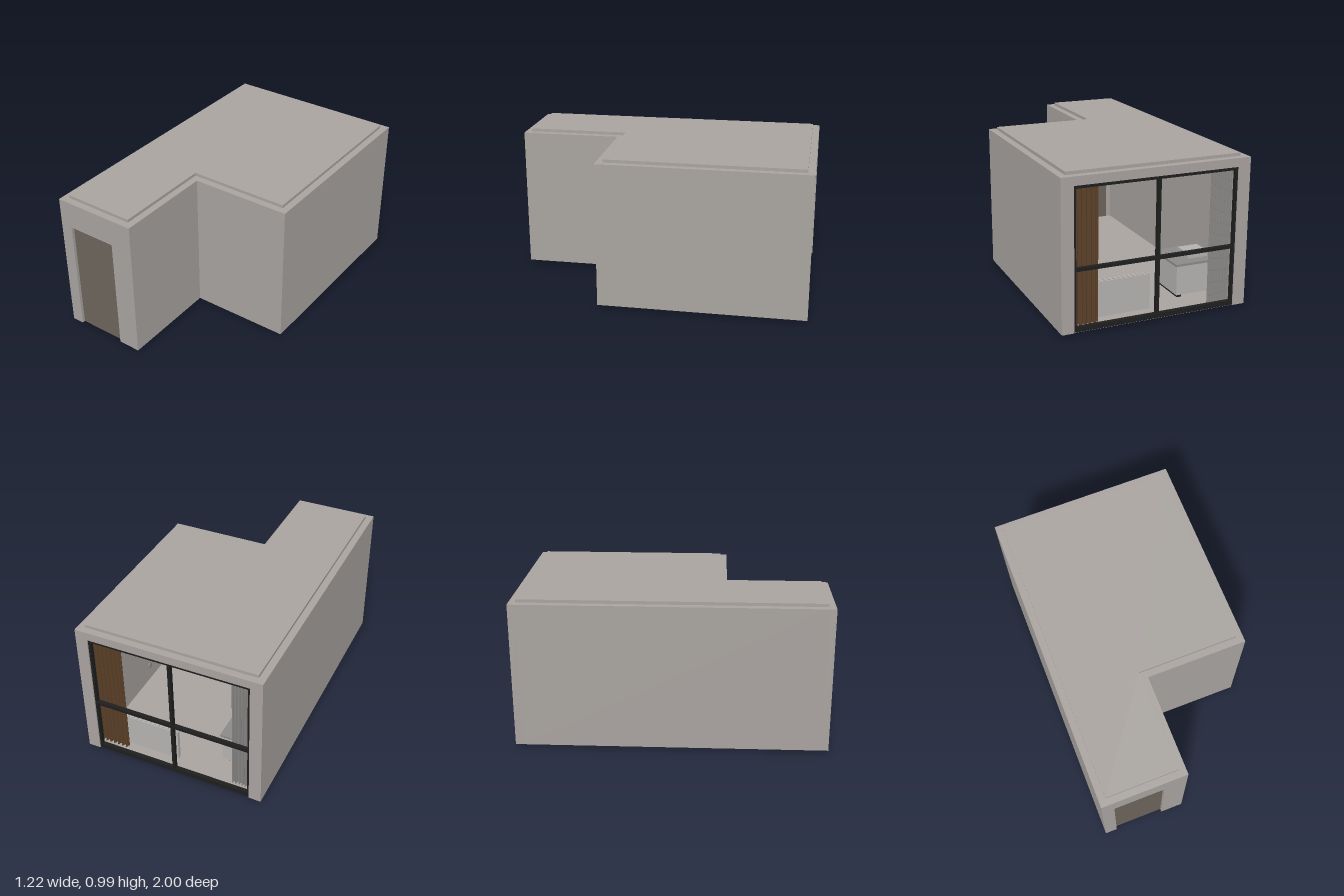
import * as THREE from 'three';

const mat = (name, color, side = THREE.FrontSide) => {
  const m = new THREE.MeshStandardMaterial({ color, side });
  m.name = name;
  return m;
};

export function createModel() {
  const model = new THREE.Group();
  model.name = 'roomUnit';
  const plaster = mat('warmGreyPlaster', 0xa8a39f);
  const doorBrown = mat('doorBrown', 0x6c645b);
  const black = mat('frameBlack', 0x1e1e1e);
  const brownCloth = mat('brownCloth', 0x5c4128, THREE.DoubleSide);
  const greyCloth = mat('greyCloth', 0x8c8a88, THREE.DoubleSide);
  const white = mat('furnitureLightGrey', 0xb4b2b0);

  const add = (name, geo, material, parent = model) => {
    const mesh = new THREE.Mesh(geo, material);
    mesh.name = name;
    parent.add(mesh);
    return mesh;
  };
  // Box given by its minimum and maximum corners
  const box = (name, material, [x0, y0, z0], [x1, y1, z1], parent) => {
    const geo = new THREE.BoxGeometry(x1 - x0, y1 - y0, z1 - z0);
    geo.translate((x0 + x1) / 2, (y0 + y1) / 2, (z0 + z1) / 2);
    return add(name, geo, material, parent);
  };
  const shape = (pts) => new THREE.Shape(pts.map(([x, y]) => new THREE.Vector2(x, y)));
  const extrude = (pts, depth) => new THREE.ExtrudeGeometry(shape(pts), { depth, bevelEnabled: false });

  const bottom = 0.02, top = 0.965, t = 0.045;

  // L-shaped floor and roof slabs, inset to the inner wall line
  const slab = (name, y0, y1) => {
    const geo = extrude([
      [-0.565, -0.955], [-0.095, -0.955], [-0.095, -0.297],
      [0.565, -0.297], [0.565, 0.955], [-0.565, 0.955],
    ], y1 - y0);
    geo.rotateX(-Math.PI / 2).translate(0, y0, 0);
    add(name, geo, plaster);
  };
  slab('floorSlab', 0, 0.022);
  slab('roofSlab', 0.962, 0.985);

  // Solid walls
  box('rightWall', plaster, [-0.61, bottom, -1 + t], [-0.565, top, 1 - t]);
  box('leftWall', plaster, [0.565, bottom, -1 + t], [0.61, top, 0.297]);
  box('notchFrontWall', plaster, [-0.05, bottom, 0.297], [0.61, top, 0.342]);
  box('notchSideWall', plaster, [-0.095, bottom, 0.297], [-0.05, top, 1 - t]);

  // End walls with an opening that reaches the floor
  const openWall = (name, x0, x1, a, b, h, z) => {
    const geo = extrude([
      [x0, bottom], [a, bottom], [a, h], [b, h], [b, bottom],
      [x1, bottom], [x1, top], [x0, top],
    ], t);
    geo.translate(0, 0, z);
    add(name, geo, plaster);
  };
  openWall('backWall', -0.61, 0.61, -0.53, 0.53, 0.91, -1);
  openWall('frontWall', -0.61, -0.05, -0.53, -0.2, 0.785, 1 - t);

  // Entrance door
  box('door', doorBrown, [-0.53, bottom, 0.955], [-0.2, 0.785, 0.98]);

  // Open window frame with one mullion and one transom
  const frame = new THREE.Group();
  frame.name = 'windowFrame';
  model.add(frame);
  const zf = [-0.992, -0.965];
  const bar = (name, x0, y0, x1, y1) => box(name, black, [x0, y0, zf[0]], [x1, y1, zf[1]], frame);
  bar('sill', -0.53, bottom, 0.53, 0.05);
  bar('head', -0.53, 0.89, 0.53, 0.91);
  bar('jambLeft', 0.515, 0.05, 0.53, 0.89);
  bar('jambRight', -0.53, 0.05, -0.515, 0.89);
  bar('mullion', -0.02, 0.05, 0.0, 0.89);
  bar('transom', -0.515, 0.395, 0.515, 0.415);

  // Pleated curtains hung from a rail
  box('curtainRail', white, [-0.56, 0.94, -0.935], [0.56, 0.95, -0.915]);
  const curtain = (name, material, x0, x1) => {
    const geo = new THREE.PlaneGeometry(x1 - x0, 0.91, 56, 1);
    const p = geo.attributes.position;
    for (let i = 0; i < p.count; i++) {
      const u = (p.getX(i) - (x0 - x1) / 2) / (x1 - x0);
      p.setZ(i, 0.012 * Math.sin(u * Math.PI * 14));
    }
    geo.computeVertexNormals();
    geo.translate((x0 + x1) / 2, 0.485, -0.925);
    add(name, geo, material);
  };
  curtain('leftCurtain', brownCloth, 0.35, 0.555);
  curtain('rightCurtain', greyCloth, -0.535, -0.385);

  // Radiator below the window
  const radiator = new THREE.Group();
  radiator.name = 'radiator';
  model.add(radiator);
  box('radiatorPanel', white, [0, 0.05, -0.905], [0.5, 0.275, -0.88], radiator);
  for (let i = 0; i < 16; i++) {
    const x = 0.008 + i * 0.031;
    box('radiatorFin', white, [x, 0.275, -0.902], [x + 0.016, 0.283, -0.883], radiator);
  }

  // Wardrobe against the notch wall
  const wardrobe = new THREE.Group();
  wardrobe.name = 'wardrobe';
  model.add(wardrobe);
  box('wardrobeBody', white, [0.02, 0.04, 0], [0.562, 0.8, 0.295], wardrobe);
  for (const x of [0.05, 0.53]) box('wardrobeFoot', black, [x - 0.015, 0.022, 0.01], [x + 0.015, 0.04, 0.28], wardrobe);
  for (const x of [0.39, 0.43]) box('wardrobeHandle', black, [x - 0.006, 0.23, -0.012], [x + 0.006, 0.32, 0], wardrobe);

  // Low cabinet by the side wall
  const cabinet = new THREE.Group();
  cabinet.name = 'cabinet';
  model.add(cabinet);
  box('cabinetBody', white, [-0.56, 0.045, -0.78], [-0.25, 0.24, -0.5], cabinet);
  box('cabinetTop', greyCloth, [-0.56, 0.24, -0.79], [-0.24, 0.255, -0.49], cabinet);
  for (const x of [-0.53, -0.28]) box('cabinetFoot', black, [x - 0.015, 0.022, -0.76], [x + 0.015, 0.045, -0.52], cabinet);
  box('storageBox', white, [-0.5, 0.255, -0.72], [-0.36, 0.29, -0.58], cabinet);

  // Round wall socket
  const socket = add('wallSocket', new THREE.CylinderGeometry(0.02, 0.02, 0.008, 20), greyCloth);
  socket.rotation.z = Math.PI / 2;
  socket.position.set(0.561, 0.14, -0.25);

  return model;
}
